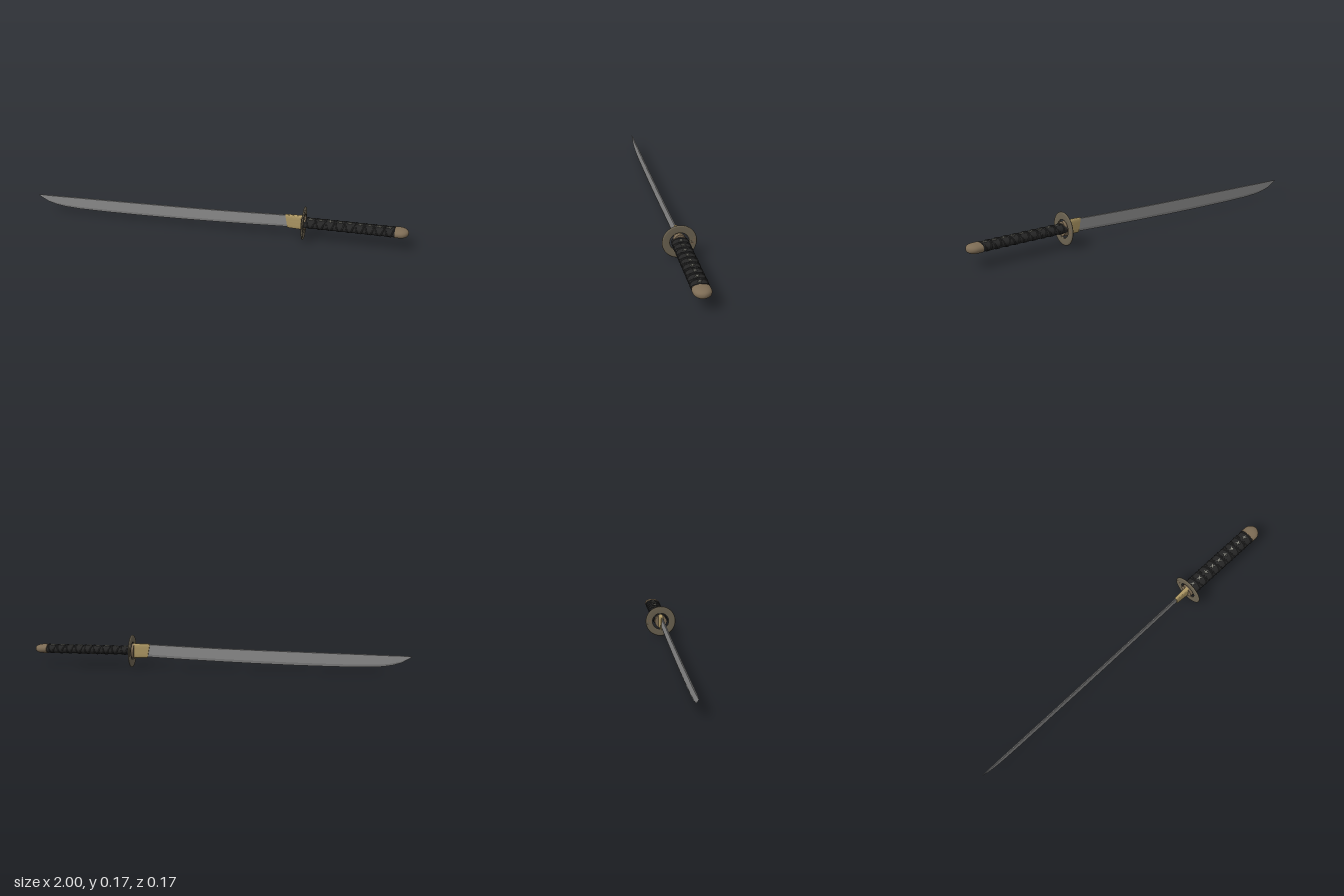
import * as THREE from 'three';

const mat = (name, color, extra = {}) => {
  const m = new THREE.MeshStandardMaterial({ color, ...extra });
  m.name = name;
  return m;
};

// Skin a list of rings (stations of increasing x) and close both ends.
function loft(rings, smooth) {
  const n = rings[0].length, pos = [], index = [];
  rings.forEach(r => r.forEach(p => pos.push(...p)));
  for (let s = 0; s < rings.length - 1; s++) {
    for (let i = 0; i < n; i++) {
      const a = s * n + i, b = s * n + (i + 1) % n;
      index.push(a, b, a + n, b, b + n, a + n);
    }
  }
  [0, rings.length - 1].forEach(s => {
    const base = pos.length / 3;
    rings[s].forEach(p => pos.push(...p));
    for (let i = 1; i < n - 1; i++) {
      if (s === 0) index.push(base, base + i + 1, base + i);
      else index.push(base, base + i, base + i + 1);
    }
  });
  let g = new THREE.BufferGeometry();
  g.setAttribute('position', new THREE.Float32BufferAttribute(pos, 3));
  g.setIndex(index);
  if (!smooth) g = g.toNonIndexed();
  g.computeVertexNormals();
  return g;
}

// Superellipse ring: power 1 is an ellipse, below 1 is boxier, above 1 more pointed.
function oval(x, cy, hy, hz, power = 1, n = 32) {
  const bend = v => Math.sign(v) * Math.abs(v) ** power;
  return Array.from({ length: n }, (_, i) => {
    const t = i / n * Math.PI * 2;
    return [x, cy + hy * bend(Math.cos(t)), hz * bend(Math.sin(t))];
  });
}

export function createModel() {
  const group = new THREE.Group();
  const steel = mat('blade steel', 0x8b8b8b);
  const brass = mat('collar brass', 0xae9864);
  const iron = mat('guard iron', 0x6c6351);
  const bronze = mat('pommel bronze', 0x7d6c55);
  const black = mat('grip black', 0x242424);
  const cord = mat('wrap cord', 0x303030);
  const silver = mat('ornament silver', 0x8e8e84);
  const copper = mat('inlay copper', 0x94694a);

  const add = (name, geometry, material, parent = group) => {
    const m = new THREE.Mesh(geometry, material);
    m.name = name;
    parent.add(m);
    return m;
  };

  // Blade: [x, spine height, edge height], with a bevel along the lower edge
  const stations = [
    [-1, 0.091, 0.088], [-0.975, 0.0925, 0.072], [-0.945, 0.0935, 0.055],
    [-0.9, 0.0945, 0.042], [-0.85, 0.0955, 0.034], [-0.76, 0.0975, 0.029],
    [-0.6, 0.1, 0.028], [-0.4, 0.1035, 0.03], [-0.2, 0.107, 0.034],
    [0, 0.1115, 0.04], [0.2, 0.118, 0.047], [0.38, 0.1245, 0.055], [0.46, 0.126, 0.058],
  ];
  add('blade', loft(stations.map(([x, top, edge]) => {
    const h = top - edge, w = 0.0035 * Math.min(1, h / 0.05);
    const ridge = edge + h * 0.2, shoulder = top - h * 0.04;
    return [[x, top, 0], [x, shoulder, w], [x, ridge, w], [x, edge, 0], [x, ridge, -w], [x, shoulder, -w]];
  })), steel);

  // Blade collar, leaning slightly at its front edge
  const collar = [oval(0.376, 0.0885, 0.0375, 0.009, 0.5), oval(0.46, 0.088, 0.039, 0.014, 0.5)];
  collar[0].forEach(p => { p[0] -= (p[1] - 0.0885) * 0.18; });
  add('bladeCollar', loft(collar), brass);

  // Washer behind the open guard
  add('washer', loft([oval(0.454, 0.086, 0.041, 0.035, 1.25), oval(0.478, 0.087, 0.039, 0.035, 1.25)]), bronze);

  // Ring guard
  const profile = [
    [0.047, -0.003], [0.05, -0.005], [0.079, -0.005], [0.084, -0.004], [0.0865, 0],
    [0.084, 0.004], [0.079, 0.005], [0.05, 0.005], [0.047, 0.003], [0.047, -0.003],
  ].map(p => new THREE.Vector2(...p));
  const guard = new THREE.Group();
  guard.name = 'guard';
  guard.position.set(0.467, 0.0855, 0);
  group.add(guard);
  add('guardRing', new THREE.LatheGeometry(profile, 56).rotateZ(-Math.PI / 2), iron, guard);

  // Inlaid dots on both faces of the guard
  for (const z of [-0.074, -0.066, -0.058]) {
    for (let i = -2; i <= 2; i++) {
      const dot = add('guardInlay', new THREE.CylinderGeometry(0.0013, 0.0013, 0.0108, 6).rotateZ(Math.PI / 2), copper, guard);
      dot.position.set(0, i * 0.008, z);
    }
  }

  // Grip core
  const cy = 0.089;
  add('grip', loft([
    oval(0.47, cy, 0.021, 0.041, 0.85), oval(0.7, cy, 0.021, 0.041, 0.85), oval(0.945, cy, 0.02, 0.041, 0.85),
  ], true), black);

  // Crossing cord wrap
  const pitch = 0.05, turns = 9, start = 0.478;
  for (const dir of [-1, 1]) {
    const points = Array.from({ length: turns * 20 + 1 }, (_, i) => {
      const t = i / 20 * Math.PI * 2;
      return new THREE.Vector3(start + i / 20 * pitch, cy + 0.0215 * Math.cos(t), dir * 0.0415 * Math.sin(t));
    });
    add('cordWrap', new THREE.TubeGeometry(new THREE.CatmullRomCurve3(points), turns * 24, 0.0035, 6), cord);
  }

  // Small crossed ornaments between the cords, above and below
  for (const side of [-1, 1]) {
    for (let k = 0; k < turns; k++) {
      const x = start + (k + (side > 0 ? 0.5 : 1)) * pitch;
      if (x > 0.92) continue;
      for (const turn of [0.5, -0.9]) {
        const bar = add('gripOrnament', new THREE.CylinderGeometry(0.014, 0.014, 0.005, 4), silver);
        bar.scale.set(1, 1, 0.3);
        bar.rotation.y = turn + Math.sin(k * 2.3) * 0.5;
        bar.position.set(x, cy + side * 0.0215, 0);
      }
    }
  }

  // Rounded pommel cap
  const cap = [oval(0.93, cy, 0.0235, 0.0435, 0.9)];
  for (let i = 0; i <= 8; i++) {
    const a = i / 8 * Math.PI / 2;
    const s = Math.max(Math.cos(a), 0.02);
    cap.push(oval(0.955 + 0.045 * Math.sin(a), cy, 0.0235 * s ** 0.7, 0.0435 * s, 0.9));
  }
  add('pommel', loft(cap, true), bronze);

  return group;
}
